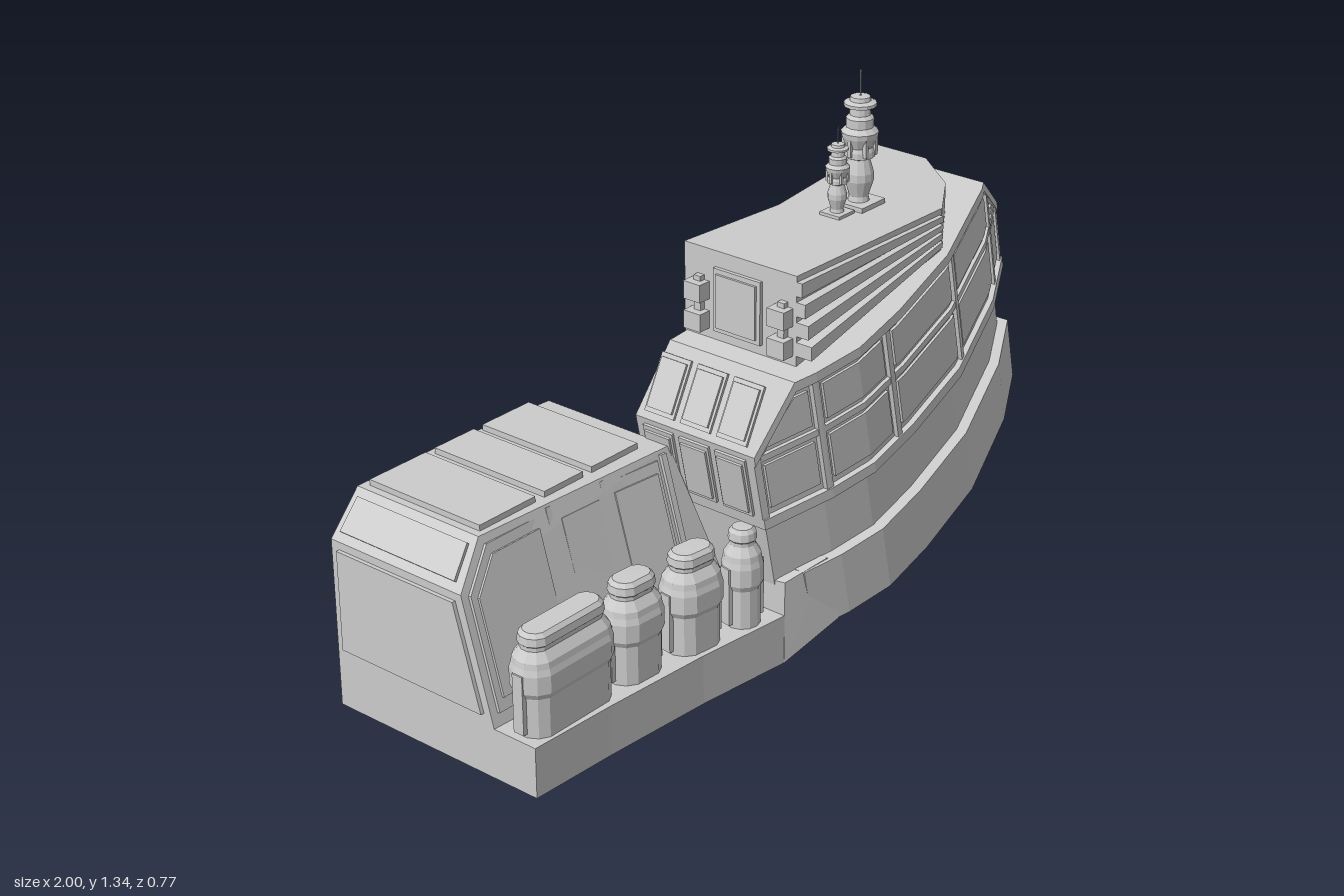
import * as THREE from 'three';
import { ConvexGeometry } from 'three/addons/geometries/ConvexGeometry.js';

const mat = new THREE.MeshStandardMaterial({ color: 0xcccccc, flatShading: true, side: THREE.DoubleSide });
const V = (p) => new THREE.Vector3(...p);

function add(parent, name, geometry, pos = [0, 0, 0]) {
  const m = new THREE.Mesh(geometry, mat);
  m.name = name;
  m.position.set(...pos);
  parent.add(m);
  return m;
}

// Piecewise linear curve through [x, value] points
const curve = (pts) => {
  const f = (x) => {
    let i = 0;
    while (i < pts.length - 2 && x > pts[i + 1][0]) i++;
    const [a, b] = [pts[i], pts[i + 1]];
    return a[1] + (b[1] - a[1]) * (x - a[0]) / (b[0] - a[0]);
  };
  f.stops = pts.map((p) => p[0]);
  return f;
};
const fn = (f) => (typeof f === 'function' ? f : () => f);

// Solid running from x0 to x1 with bottom, top, front and back given as curves
function band(x0, x1, bottom, top, front, back) {
  const fs = [bottom, top, front, back].map(fn);
  const stops = fs.flatMap((f) => f.stops ?? []).filter((x) => x > x0 + 1e-4 && x < x1 - 1e-4);
  const xs = [...new Set([x0, ...stops, x1])].sort((a, b) => a - b);
  const rings = xs.map((x) => {
    const [b, t, f, k] = fs.map((g) => g(x));
    return [[x, b, f], [x, t, f], [x, t, k], [x, b, k]];
  });
  const out = [];
  const quad = (a, b, c, d) => out.push(...a, ...b, ...c, ...a, ...c, ...d);
  for (let i = 0; i < rings.length - 1; i++) {
    for (let k = 0; k < 4; k++) {
      const n = (k + 1) % 4;
      quad(rings[i][k], rings[i + 1][k], rings[i + 1][n], rings[i][n]);
    }
  }
  quad(...rings[0]);
  quad(...[...rings[rings.length - 1]].reverse());
  const g = new THREE.BufferGeometry();
  g.setAttribute('position', new THREE.Float32BufferAttribute(out, 3));
  g.computeVertexNormals();
  return g;
}
const shift = (f, d) => Object.assign((x) => f(x) + d, { stops: f.stops });

// Thin panel lying on a flat polygon, thickened both ways
function plate(pts, t) {
  const p = pts.map(V);
  const n = p[1].clone().sub(p[0]).cross(p[2].clone().sub(p[0])).normalize().multiplyScalar(t);
  return new ConvexGeometry(p.flatMap((q) => [q.clone().add(n), q.clone().sub(n)]));
}
// Panel with a smaller raised field inside it
function framed(parent, name, pts, t) {
  const c = pts.reduce((s, p) => s.add(V(p)), new THREE.Vector3()).divideScalar(pts.length);
  add(parent, name, plate(pts, t));
  add(parent, name + 'Field', plate(pts.map((p) => V(p).lerp(c, 0.15).toArray()), t + 0.006));
}

// Curved, tilted main hull with its window band
function buildHull() {
  const g = new THREE.Group();
  g.name = 'hull';
  g.position.y = 0.08;
  g.rotation.z = 0.209;
  const front = curve([[-0.18, 0.29], [0, 0.355], [0.13, 0.383], [0.3, 0.373], [0.55, 0.335], [0.84, 0.235], [1.02, 0.14]]);
  const back = curve([[-0.18, -0.07], [-0.04, -0.035], [0.17, 0], [0.45, -0.035], [0.86, -0.145], [1.02, -0.235]]);
  const roof = curve([[-0.18, 0.56], [-0.055, 0.71], [0.867, 0.71], [1.02, 0.545]]);
  add(g, 'lowerHull', band(-0.1, 1.02, 0, 0.177, front, back));
  add(g, 'recessedHull', band(-0.155, 0.995, 0.1, 0.36, shift(front, -0.03), shift(back, 0.022)));
  add(g, 'upperHull', band(-0.18, 1.02, 0.35, roof, shift(front, -0.014), back));

  // Window frame bars and panes on the front
  const bar = (name, a, b, lo, hi, out) =>
    add(g, name, band(a, b, lo, hi, shift(front, out), shift(front, -0.03)));
  bar('sillBar', -0.18, 1.02, 0.35, 0.378, 0.002);
  bar('roofBar', -0.18, 1.02, shift(roof, -0.026), roof, 0.002);
  bar('middleBar', -0.16, 0.99, 0.535, 0.552, -0.004);
  for (const u of [-0.18, -0.01, 0.24, 0.58, 0.9, 1.0]) {
    bar('mullion', u, u + 0.018, 0.37, shift(roof, -0.01), -0.002);
  }
  const cols = [[-0.15, -0.02], [0.022, 0.228], [0.272, 0.568], [0.612, 0.888], [0.93, 0.99]];
  for (const [a, b] of cols) {
    bar('lowerPane', a, b, 0.398, 0.52, -0.007);
    bar('upperPane', a, b, 0.566, shift(roof, -0.045), -0.007);
  }

  // Windows on the narrow end and on its sloping shoulder
  for (let i = 0; i < 3; i++) {
    const a = -0.045 + i * 0.11, b = a + 0.09;
    framed(g, 'endPane', [[-0.18, 0.385, a], [-0.18, 0.385, b], [-0.18, 0.545, b], [-0.18, 0.545, a]], 0.007);
    framed(g, 'shoulderPane', [[-0.168, 0.574, a], [-0.168, 0.574, b], [-0.075, 0.686, b], [-0.075, 0.686, a]], 0.007);
  }
  return g;
}

// Level cabin on the sloping roof
function buildCabin() {
  const g = new THREE.Group();
  g.name = 'cabin';
  const front = curve([[-0.15, 0.3], [0.4, 0.31], [0.54, 0.22], [0.65, 0.08]]);
  const back = curve([[-0.15, -0.035], [0.17, -0.008], [0.42, -0.04], [0.65, -0.115]]);
  add(g, 'cabinBody', band(-0.15, 0.65, (x) => 0.79 + 0.2126 * x, 1, front, back));
  // Louvres tapering along the front
  for (let i = 0; i < 4; i++) {
    const top = curve([[-0.15, 0.985 - i * 0.05], [0.39, 0.985 - i * 0.022]]);
    const low = curve([[-0.15, 0.95 - i * 0.05], [0.39, 0.97 - i * 0.022]]);
    add(g, 'louvre', band(-0.15, 0.39, low, top, curve([[-0.15, 0.315 + i * 0.01], [0.39, 0.322]]), 0.28));
  }
  // End door with vents on both sides
  framed(g, 'cabinDoor', [[-0.15, 0.8, 0.06], [-0.15, 0.8, 0.2], [-0.15, 0.96, 0.2], [-0.15, 0.96, 0.06]], 0.01);
  for (const z of [0.015, 0.265]) {
    for (const y of [0.82, 0.895]) add(g, 'vent', new THREE.BoxGeometry(0.04, 0.045, 0.05), [-0.165, y, z]);
    add(g, 'ventRail', new THREE.BoxGeometry(0.02, 0.14, 0.02), [-0.155, 0.86, z]);
  }
  return g;
}

// Mast of turned sections with a needle on top
function buildAntenna(x, z, s) {
  const g = new THREE.Group();
  g.name = 'antenna';
  g.position.set(x, 1, z);
  g.scale.setScalar(s);
  const profile = [[0, 0], [0.027, 0.01], [0.024, 0.025], [0.036, 0.065], [0.036, 0.085], [0.026, 0.12], [0.038, 0.125],
    [0.038, 0.14], [0.034, 0.15], [0.044, 0.175], [0.046, 0.188], [0.034, 0.2], [0.034, 0.222], [0.026, 0.23],
    [0.024, 0.25], [0.04, 0.252], [0.04, 0.26], [0.026, 0.265], [0.024, 0.275], [0, 0.276]];
  add(g, 'antennaBase', new THREE.BoxGeometry(0.092, 0.012, 0.092), [0, 0.006, 0]);
  add(g, 'antennaBody', new THREE.LatheGeometry(profile.map((p) => new THREE.Vector2(...p)), 12));
  add(g, 'needle', new THREE.CylinderGeometry(0.002, 0.002, 0.07, 6), [0, 0.305, 0]);
  for (let i = 0; i < 6; i++) {
    const a = i * Math.PI / 3;
    add(g, 'antennaRib', new THREE.BoxGeometry(0.01, 0.06, 0.01), [0.037 * Math.cos(a), 0.16, 0.037 * Math.sin(a)]);
  }
  return g;
}

// Stepped tank: a turned profile stretched sideways
function buildTank(x, z, stretch, r, turn) {
  const g = new THREE.Group();
  g.name = 'tank';
  g.position.set(x, 0.13, z);
  g.rotation.y = turn;
  const profile = [[0, 0], [0.88, 0], [0.88, 0.1], [1.02, 0.115], [1.02, 0.16], [0.94, 0.175], [0.9, 0.19],
    [0.62, 0.212], [0.62, 0.222], [0.7, 0.226], [0.66, 0.245], [0.5, 0.255], [0, 0.256]];
  const lathe = new THREE.LatheGeometry(profile.map(([a, y]) => new THREE.Vector2(a * r, y)), 12, Math.PI / 12);
  const p = lathe.attributes.position;
  for (let i = 0; i < p.count; i++) {
    if (Math.abs(p.getX(i)) > 1e-5) p.setX(i, p.getX(i) + Math.sign(p.getX(i)) * stretch);
  }
  add(g, 'tankBody', lathe);
  for (const s of [-1, 1]) add(g, 'tankStrap', new THREE.BoxGeometry(0.012, 0.15, 0.03), [s * (stretch + r * 0.95), 0.085, 0]);
  return g;
}

// Low wing: slab, sloped housing, panels and tanks
function buildWing() {
  const g = new THREE.Group();
  g.name = 'wing';
  const front = curve([[-0.99, 0.24], [-0.75, 0.25], [-0.45, 0.27], [-0.18, 0.3]]);
  const back = curve([[-0.99, -0.385], [-0.66, -0.385], [-0.3, -0.355], [-0.18, -0.335]]);
  add(g, 'baseSlab', band(-0.99, -0.18, 0, 0.13, front, back));
  add(g, 'hullJoint', new ConvexGeometry([
    [-0.185, 0, 0.3], [-0.185, 0.22, 0.3], [-0.03, 0.073, 0.345], [-0.065, 0.25, 0.335],
    [-0.05, 0.07, -0.035], [-0.05, 0.225, -0.035], [-0.18, 0, -0.335], [-0.18, 0.13, -0.335]].map(V)));
  // Front slope of the housing
  const face = (x, y) => [x, y, 0.1 * Math.max(0, x + 0.6) + 0.115 * (0.54 - y) / 0.41];
  add(g, 'housing', new ConvexGeometry([
    face(-0.99, 0.13), face(-0.99, 0.44), face(-0.9, 0.54), face(-0.6, 0.54), face(-0.6, 0.13), face(-0.29, 0.54),
    face(-0.2, 0.13), [-0.99, 0.13, -0.385], [-0.99, 0.44, -0.385], [-0.9, 0.54, -0.385], [-0.66, 0.54, -0.385],
    [-0.66, 0.13, -0.385], [-0.29, 0.54, -0.355], [-0.18, 0.13, -0.335]].map(V)));
  framed(g, 'frontPanel', [face(-0.97, 0.16), face(-0.71, 0.16), face(-0.71, 0.52), face(-0.89, 0.52), face(-0.97, 0.43)], 0.009);
  for (const [a, b] of [[-0.67, -0.53], [-0.5, -0.34]]) {
    framed(g, 'frontPanel', [face(a, 0.16), face(b, 0.16), face(b, 0.52), face(a, 0.52)], 0.009);
  }
  for (const [a, b] of [[-0.88, -0.7], [-0.67, -0.54], [-0.51, -0.35]]) {
    add(g, 'roofPanel', new THREE.BoxGeometry(b - a, 0.03, 0.35), [(a + b) / 2, 0.54, -0.19]);
  }
  add(g, 'shoulderPanel', plate([[-0.975, 0.457, -0.365], [-0.915, 0.523, -0.365], [-0.915, 0.523, -0.015], [-0.975, 0.457, 0]], 0.008));
  add(g, 'endPanel', plate([[-0.99, 0.16, -0.36], [-0.99, 0.16, 0.085], [-0.99, 0.42, 0.01], [-0.99, 0.42, -0.36]], 0.01));
  for (const x of [-0.69, -0.515, -0.32]) {
    add(g, 'frontRib', plate([face(x - 0.008, 0.14), face(x + 0.008, 0.14), face(x + 0.008, 0.53), face(x - 0.008, 0.53)], 0.012));
  }
  g.add(buildTank(-0.835, 0.182, 0.083, 0.06, 0), buildTank(-0.605, 0.187, 0.02, 0.06, -0.05),
    buildTank(-0.42, 0.208, 0.02, 0.06, -0.12), buildTank(-0.265, 0.235, 0, 0.05, -0.2));
  return g;
}

export function createModel() {
  const model = new THREE.Group();
  model.name = 'model';
  model.add(buildHull(), buildCabin(), buildWing(), buildAntenna(0.295, 0.137, 1), buildAntenna(0.21, 0.137, 0.65));
  return model;
}
